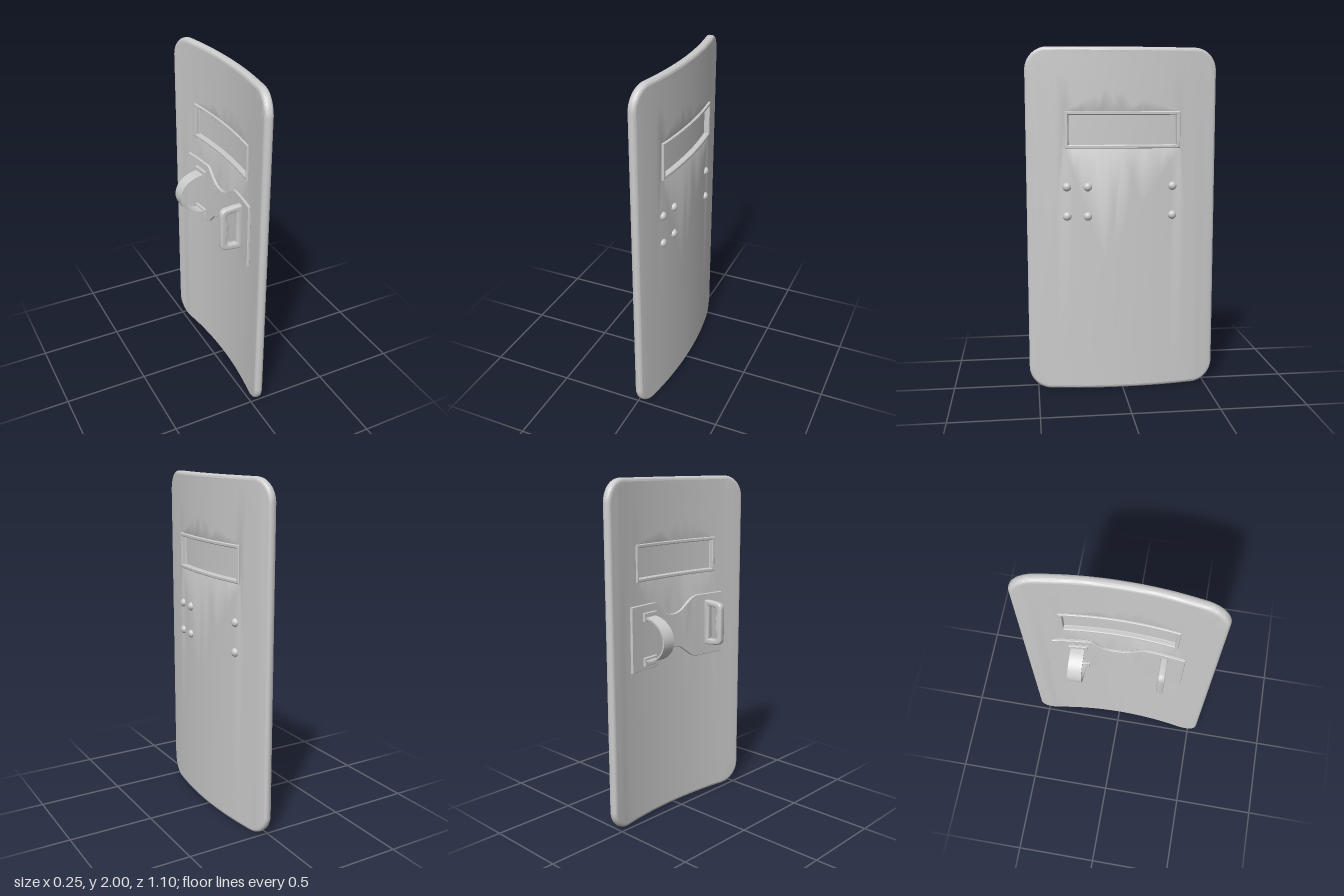
import * as THREE from 'three';
import { toCreasedNormals } from 'three/addons/utils/BufferGeometryUtils.js';

const R = 2.45;        // radius of the concave inner face
const INNER_X = 0.06;  // x of the inner face at the middle
const mat = new THREE.MeshStandardMaterial({ color: 0xcccccc });

// Flat sheet coordinates (u = -z along the arc, y up, t outward) to the curved panel
function bendPoint(u, y, t) {
  const a = u / R;
  return new THREE.Vector3(INNER_X - R + (R + t) * Math.cos(a), y, -(R + t) * Math.sin(a));
}

// Split triangles until each is narrow in u, then wrap them round the arc
function bend(geometry, maxWidth = 0.06) {
  const src = geometry.index ? geometry.toNonIndexed() : geometry;
  const p = src.attributes.position;
  const out = [];
  const split = (a, b, c) => {
    const w = [Math.abs(a.x - b.x), Math.abs(b.x - c.x), Math.abs(c.x - a.x)];
    const m = Math.max(...w);
    if (m <= maxWidth) {
      for (const v of [a, b, c]) out.push(...bendPoint(v.x, v.y, v.z).toArray());
      return;
    }
    const k = w.indexOf(m);
    const [p0, p1, p2] = k === 0 ? [a, b, c] : k === 1 ? [b, c, a] : [c, a, b];
    const mid = p0.clone().add(p1).multiplyScalar(0.5);
    split(p0, mid, p2);
    split(mid, p1, p2);
  };
  const at = (i) => new THREE.Vector3().fromBufferAttribute(p, i);
  for (let i = 0; i < p.count; i += 3) split(at(i), at(i + 1), at(i + 2));
  const g = new THREE.BufferGeometry();
  g.setAttribute('position', new THREE.Float32BufferAttribute(out, 3));
  return toCreasedNormals(g, 0.6);
}

function rect(S, u0, u1, y0, y1, r = 0) {
  const s = new S();
  s.moveTo(u0 + r, y0);
  s.lineTo(u1 - r, y0);
  if (r) s.absarc(u1 - r, y0 + r, r, -Math.PI / 2, 0);
  s.lineTo(u1, y1 - r);
  if (r) s.absarc(u1 - r, y1 - r, r, 0, Math.PI / 2);
  s.lineTo(u0 + r, y1);
  if (r) s.absarc(u0 + r, y1 - r, r, Math.PI / 2, Math.PI);
  s.lineTo(u0, y0 + r);
  if (r) s.absarc(u0 + r, y0 + r, r, Math.PI, Math.PI * 1.5);
  return s;
}

// Extrusion between two depths whose bevel stays inside the outline
function slab(shape, t0, t1, bevel, segments = 1) {
  const g = new THREE.ExtrudeGeometry(shape, {
    depth: t1 - t0 - 2 * bevel, bevelEnabled: bevel > 0, bevelSize: bevel,
    bevelThickness: bevel, bevelOffset: -bevel, bevelSegments: segments, curveSegments: 12,
  });
  return g.translate(0, 0, t0 + bevel);
}

export function createModel() {
  const model = new THREE.Group();
  const add = (name, geometry) => {
    const mesh = new THREE.Mesh(geometry, mat);
    mesh.name = name;
    model.add(mesh);
    return mesh;
  };

  // Curved body with a window opening
  const body = rect(THREE.Shape, -0.55, 0.55, 0, 2, 0.13);
  body.holes.push(rect(THREE.Path, -0.304, 0.304, 1.451, 1.619));
  add('shieldBody', bend(slab(body, 0, 0.05, 0.02, 4)));

  // Window frame and recessed pane
  const frame = rect(THREE.Shape, -0.327, 0.327, 1.43, 1.64);
  frame.holes.push(rect(THREE.Path, -0.307, 0.307, 1.45, 1.62));
  add('windowFrame', bend(slab(frame, -0.01, 0.063, 0.004)));
  add('windowPane', bend(slab(rect(THREE.Shape, -0.315, 0.315, 1.44, 1.63), 0.018, 0.032, 0)));

  // Back plate, waisted between the strap end and the handle end
  const plate = new THREE.Shape();
  plate.moveTo(0.385, 0.92);
  plate.lineTo(0.385, 1.3);
  plate.lineTo(0.18, 1.3);
  plate.bezierCurveTo(0.13, 1.3, 0.12, 1.21, 0.02, 1.21);
  plate.bezierCurveTo(-0.08, 1.21, -0.1, 1.3, -0.19, 1.3);
  plate.lineTo(-0.38, 1.3);
  plate.lineTo(-0.38, 0.92);
  plate.lineTo(-0.19, 0.92);
  plate.bezierCurveTo(-0.1, 0.92, -0.08, 1.01, 0.02, 1.01);
  plate.bezierCurveTo(0.12, 1.01, 0.13, 0.92, 0.18, 0.92);
  add('backPlate', bend(slab(plate, -0.015, 0.002, 0.003)));

  // Arm strap: half-ellipse band standing on two pads
  for (const y of [1.23, 0.97]) {
    add('strapPad', bend(slab(rect(THREE.Shape, 0.18, 0.29, y - 0.025, y + 0.025), -0.03, -0.013, 0.003)));
  }
  const strap = new THREE.Shape();
  strap.absellipse(0.03, 1.1, 0.157, 0.13, Math.PI / 2, Math.PI * 1.5, false);
  strap.absellipse(0.03, 1.1, 0.147, 0.12, Math.PI * 1.5, Math.PI / 2, true);
  const band = new THREE.ExtrudeGeometry(strap, { depth: 0.08, bevelEnabled: false, curveSegments: 32 });
  add('armStrap', toCreasedNormals(band, 0.6)).position.z = -0.275;

  // Hand grip: closed loop with finger waves on the inside
  const grip = new THREE.Shape();
  grip.moveTo(0.04, 0.985);
  grip.lineTo(-0.01, 0.985);
  grip.lineTo(-0.06, 0.992);
  grip.quadraticCurveTo(-0.095, 0.996, -0.095, 1.03);
  grip.lineTo(-0.095, 1.215);
  grip.quadraticCurveTo(-0.095, 1.25, -0.06, 1.254);
  grip.lineTo(-0.01, 1.26);
  grip.lineTo(0.04, 1.26);
  const hole = new THREE.Path();
  hole.moveTo(0.006, 1.022);
  hole.lineTo(0.006, 1.225);
  hole.lineTo(-0.03, 1.225);
  hole.splineThru([
    [-0.055, 1.215], [-0.062, 1.195], [-0.055, 1.172], [-0.047, 1.152], [-0.056, 1.125],
    [-0.047, 1.095], [-0.056, 1.07], [-0.062, 1.045], [-0.052, 1.028], [-0.03, 1.022],
  ].map(([x, y]) => new THREE.Vector2(x, y)));
  grip.holes.push(hole);
  add('handGrip', toCreasedNormals(slab(grip, 0.24, 0.28, 0.01, 4), 0.7));

  // Domed rivets on the outer face
  const dome = new THREE.SphereGeometry(0.025, 20, 8, 0, Math.PI * 2, 0, Math.PI / 2);
  dome.scale(1, 0.85, 1).rotateZ(-Math.PI / 2);
  for (const z of [0.322, 0.203, -0.291]) {
    for (const y of [1.04, 1.21]) {
      const u = -Math.asin(z / (R + 0.05)) * R;
      const rivet = add('rivet', dome);
      rivet.position.copy(bendPoint(u, y, 0.049));
      rivet.rotation.y = u / R;
    }
  }
  return model;
}
